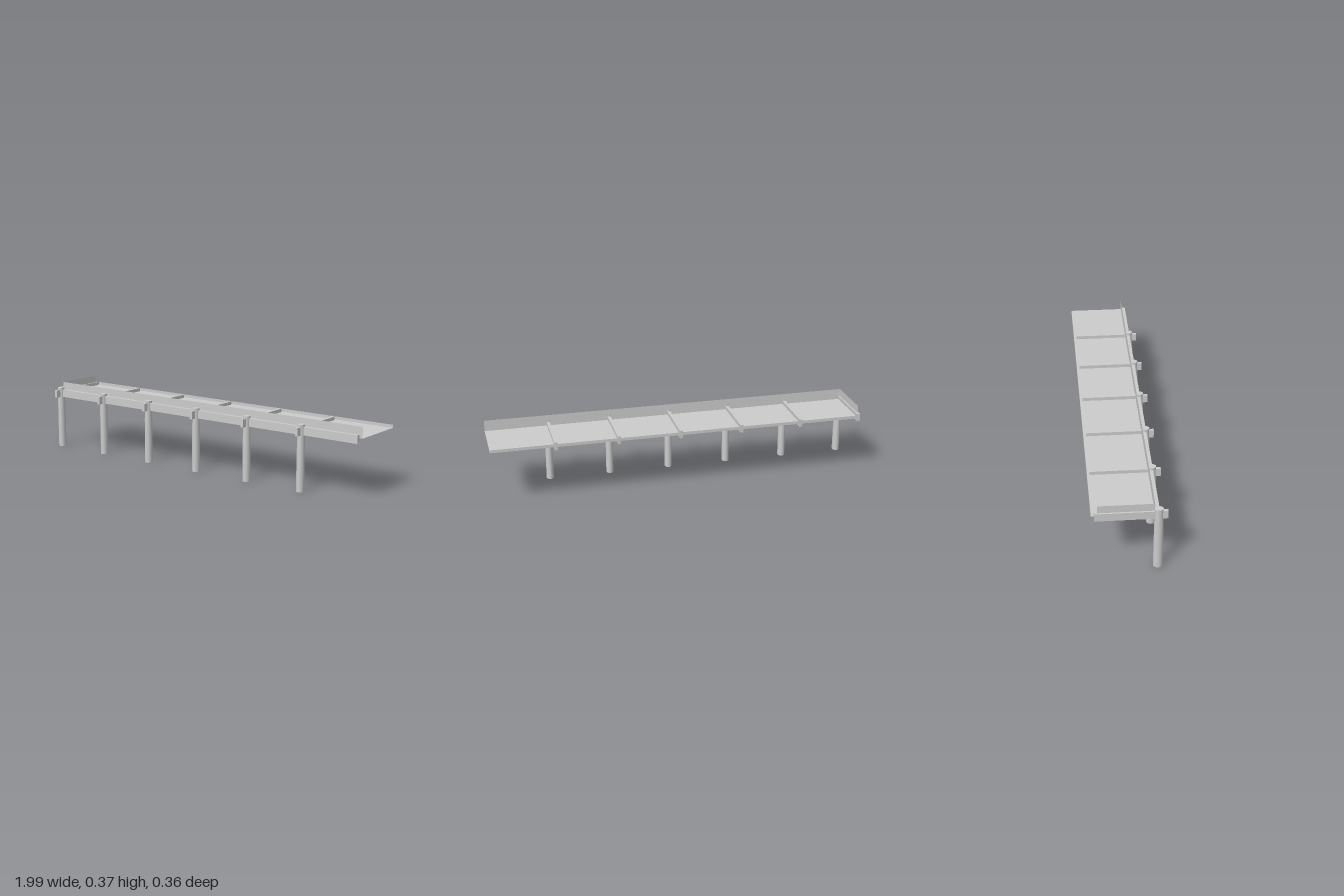
import * as THREE from 'three';

const material = new THREE.MeshStandardMaterial({ color: 0xcccccc });
const sheetMaterial = new THREE.MeshStandardMaterial({ color: 0xcccccc, side: THREE.DoubleSide });

const DECK_Y = 0.312;
const LEFT = 0.995, RIGHT = -0.98;
const POST_Z = 0.137;

export function createModel() {
  const group = new THREE.Group();

  const add = (name, geometry, x, y, z, mat = material) => {
    const mesh = new THREE.Mesh(geometry, mat);
    mesh.name = name;
    mesh.position.set(x, y, z);
    group.add(mesh);
    return mesh;
  };

  // Box given by its two extreme corners
  const box = (name, x0, x1, y0, y1, z0, z1) =>
    add(name, new THREE.BoxGeometry(x1 - x0, y1 - y0, z1 - z0),
      (x0 + x1) / 2, (y0 + y1) / 2, (z0 + z1) / 2);

  // Slightly oval log, tapering below the top
  const profile = [[0, 0], [1, 0], [1, 0], [1, 0.13], [0.97, 0.24], [0.88, 0.315], [0.9, 0.342], [0.9, 0.342], [0, 0.342]]
    .map(([r, y]) => new THREE.Vector2(r, y));
  const postGeometry = new THREE.LatheGeometry(profile, 16);
  postGeometry.scale(0.0195, 1, 0.023);

  // Row of posts, each carrying one cross beam
  for (let i = 0; i < 6; i++) {
    const x = -0.98 + i * 0.328;
    add('post', postGeometry, x, 0, POST_Z);
    box('crossBeam', x - 0.008, x + 0.008, 0.288, 0.33, -0.165, 0.18);
  }

  // Long rail running through the posts
  box('frontRail', RIGHT, 0.98, 0.288, 0.33, 0.123, 0.141);

  // Thin sheets: deck, front guard, back lip and end guard
  const length = LEFT - RIGHT, middle = (LEFT + RIGHT) / 2;
  const deck = add('deck', new THREE.PlaneGeometry(length, 0.298), middle, DECK_Y, -0.031, sheetMaterial);
  deck.rotation.x = -Math.PI / 2;

  const upright = (name, y1, z) =>
    add(name, new THREE.PlaneGeometry(length, y1 - DECK_Y), middle, (DECK_Y + y1) / 2, z, sheetMaterial);
  upright('frontGuard', 0.37, 0.118);
  upright('backLip', 0.328, -0.18);

  const endGuard = add('endGuard', new THREE.PlaneGeometry(0.268, 0.042), RIGHT, 0.349, -0.016, sheetMaterial);
  endGuard.rotation.y = Math.PI / 2;

  return group;
}
